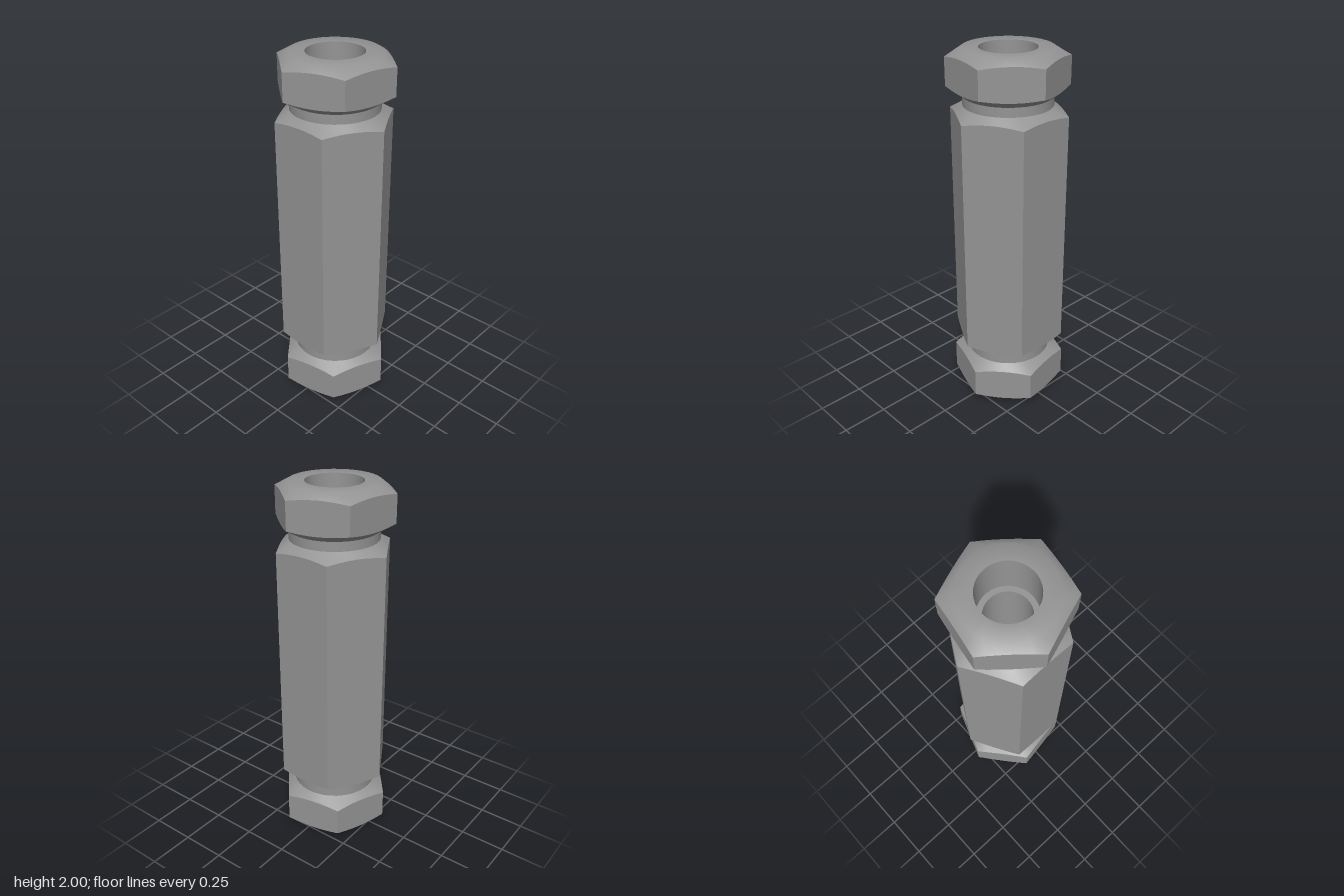
import * as THREE from 'three';

const SEG = 36, PER_SIDE = SEG / 6;
const CORNER = 0.318, APOTHEM = CORNER * Math.cos(Math.PI / 6);
const NECK = 0.235, BORE = 0.12, NUT_BORE = 0.15;

const steel = new THREE.MeshStandardMaterial({ color: 0x949494 });
steel.name = 'steel grey';

// Round ring: same radius and height all the way round
const round = (r, y) => () => [r, y];

// Hexagonal ring; its edge dips towards the corners (dir +1 top, -1 bottom)
const hex = (y, dir) => (i) => {
  const r = APOTHEM / Math.cos(((i % PER_SIDE) / PER_SIDE - 0.5) * Math.PI / 3);
  const t = (r - APOTHEM) / (CORNER - APOTHEM);
  return [r, y - dir * (0.032 + 0.014 * t)];
};

// Surface through successive rings, listed up the outside, over the top, down the bore
function loft(rings, flat = false) {
  const pos = [], index = [];
  rings.forEach((ring, k) => {
    for (let i = 0; i < SEG; i++) {
      const [r, y] = ring(i), a = (i / SEG) * Math.PI * 2;
      pos.push(r * Math.cos(a), y, r * Math.sin(a));
      if (k === 0) continue;
      const j = (i + 1) % SEG, lo = (k - 1) * SEG, hi = k * SEG;
      index.push(lo + i, hi + i, hi + j, lo + i, hi + j, lo + j);
    }
  });
  let geo = new THREE.BufferGeometry();
  geo.setAttribute('position', new THREE.Float32BufferAttribute(pos, 3));
  geo.setIndex(index);
  if (flat) geo = geo.toNonIndexed();
  geo.computeVertexNormals();
  return geo;
}

function add(group, name, rings, flat) {
  const mesh = new THREE.Mesh(loft(rings, flat), steel);
  mesh.name = name;
  group.add(mesh);
}

// Chamfered hexagonal prism; inner radii are where its two end faces stop
function hexPrism(name, y0, y1, inner0, inner1, cornerDegrees = 0) {
  const g = new THREE.Group();
  g.name = name;
  const low = [round(NECK, y0), hex(y0, -1)];
  const high = [hex(y1, 1), round(NECK, y1)];
  if (inner0 < NECK) low.unshift(round(inner0, y0));
  if (inner1 < NECK) high.push(round(inner1, y1));
  add(g, name + 'Sides', [hex(y0, -1), hex(y1, 1)], true);
  add(g, name + 'LowerChamfer', low);
  add(g, name + 'UpperChamfer', high);
  g.rotation.y = -THREE.MathUtils.degToRad(cornerDegrees);
  return g;
}

export function createModel() {
  const model = new THREE.Group();
  model.name = 'hexCoupling';

  // Long hexagonal body with a short round neck at each end
  model.add(hexPrism('body', 0.31, 1.71, NECK, NECK));
  add(model, 'lowerNeck', [round(NECK, 0.25), round(NECK, 0.31)]);
  add(model, 'upperNeck', [round(NECK, 1.71), round(NECK, 1.76)]);

  // Through bore and the small shelves where it meets the wider nut bores
  add(model, 'bore', [round(BORE, 1.76), round(BORE, 0.25)]);
  add(model, 'upperShelf', [round(NUT_BORE, 1.76), round(BORE, 1.76)]);
  add(model, 'lowerShelf', [round(BORE, 0.25), round(NUT_BORE, 0.25)]);

  // End nuts, each turned by its own angle
  const upperNut = hexPrism('upperNut', 1.76, 2, NECK, NUT_BORE, 40);
  add(upperNut, 'upperNutBore', [round(NUT_BORE, 2), round(NUT_BORE, 1.76)]);
  const lowerNut = hexPrism('lowerNut', 0, 0.25, NUT_BORE, NECK, 50);
  add(lowerNut, 'lowerNutBore', [round(NUT_BORE, 0.25), round(NUT_BORE, 0)]);
  model.add(upperNut, lowerNut);

  return model;
}
